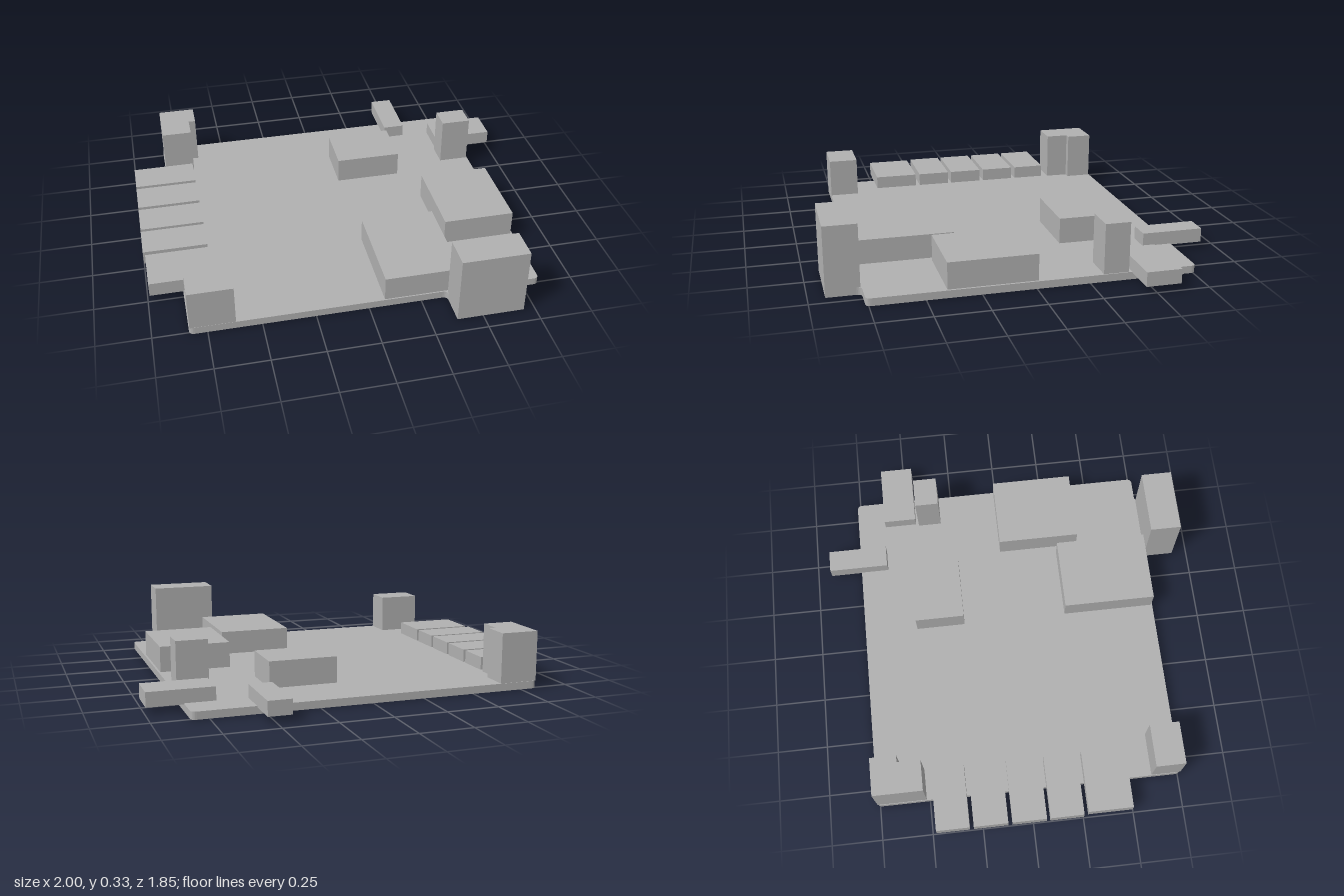
import * as THREE from 'three';

const grey = new THREE.MeshStandardMaterial({ color: 0xb0b0b0 });
grey.name = 'plain grey';

const BOARD_TOP = 0.036;

// Box given by its extents on each axis
function block(name, x0, x1, y0, y1, z0, z1) {
  const mesh = new THREE.Mesh(new THREE.BoxGeometry(x1 - x0, y1 - y0, z1 - z0), grey);
  mesh.position.set((x0 + x1) / 2, (y0 + y1) / 2, (z0 + z1) / 2);
  mesh.name = name;
  return mesh;
}

// Plan outline (shape y = -z) raised from y0 to y1
function slab(name, shape, y0, y1) {
  const geometry = new THREE.ExtrudeGeometry(shape, { depth: y1 - y0, bevelEnabled: false, curveSegments: 6 });
  geometry.rotateX(-Math.PI / 2);
  const mesh = new THREE.Mesh(geometry, grey);
  mesh.position.y = y0;
  mesh.name = name;
  return mesh;
}

// Board outline: rounded corners and a filleted tab at the front
function boardShape() {
  const l = -0.833, r = 0.83, f = -0.763, b = 0.763, c = 0.025;
  const t0 = 0.376, t1 = 0.696, tf = -0.92;
  const s = new THREE.Shape();
  s.moveTo(l + c, f);
  s.lineTo(t0 - c, f);
  s.quadraticCurveTo(t0, f, t0, f - c);
  s.lineTo(t0, tf);
  s.lineTo(t1, tf);
  s.lineTo(t1, f - c);
  s.quadraticCurveTo(t1, f, t1 + c, f);
  s.lineTo(r - c, f);
  s.quadraticCurveTo(r, f, r, f + c);
  s.lineTo(r, b - c);
  s.quadraticCurveTo(r, b, r - c, b);
  s.lineTo(l + c, b);
  s.quadraticCurveTo(l, b, l, b - c);
  s.lineTo(l, f + c);
  s.quadraticCurveTo(l, f, l + c, f);
  return s;
}

export function createModel() {
  const model = new THREE.Group();
  model.name = 'circuitBoard';
  model.add(slab('board', boardShape(), 0, BOARD_TOP));

  // Tall connector on the front tab
  model.add(block('frontConnector', 0.376, 0.696, 0.001, 0.33, 0.768, 0.923));

  // Row of plugs along the right-hand edge of the board
  [[-0.48, -0.315], [-0.295, -0.125], [-0.105, 0.065], [0.083, 0.25], [0.273, 0.495]]
    .forEach(([z0, z1], i) => {
      model.add(block('sidePlug' + (i + 1), i === 4 ? -0.99 : -1, -0.688, 0.031, 0.1, z0, z1));
    });

  // L-shaped corner housing at the back
  const corner = new THREE.Shape([
    [-0.83, 0.515], [-0.68, 0.515], [-0.68, 0.63], [-0.645, 0.63], [-0.645, 0.76], [-0.83, 0.76],
  ].map(([x, y]) => new THREE.Vector2(x, y)));
  model.add(slab('cornerHousing', corner, BOARD_TOP, 0.276));

  // Remaining housings, chips and plugs
  model.add(block('frontCornerHousing', -0.83, -0.62, BOARD_TOP, 0.231, 0.615, 0.762));
  model.add(block('edgeHousing', 0.675, 0.825, BOARD_TOP, 0.276, -0.435, -0.315));
  model.add(block('leftPlug', 0.685, 0.996, 0.031, 0.1, -0.616, -0.45));
  model.add(block('backPlug', 0.43, 0.54, 0.031, 0.1, -0.923, -0.62));
  model.add(block('backChip', 0.075, 0.405, BOARD_TOP, 0.163, -0.49, -0.24));
  model.add(block('sideChip', 0.47, 0.82, BOARD_TOP, 0.163, -0.01, 0.405));
  model.add(block('frontChip', 0.075, 0.435, BOARD_TOP, 0.154, 0.292, 0.757));
  return model;
}
